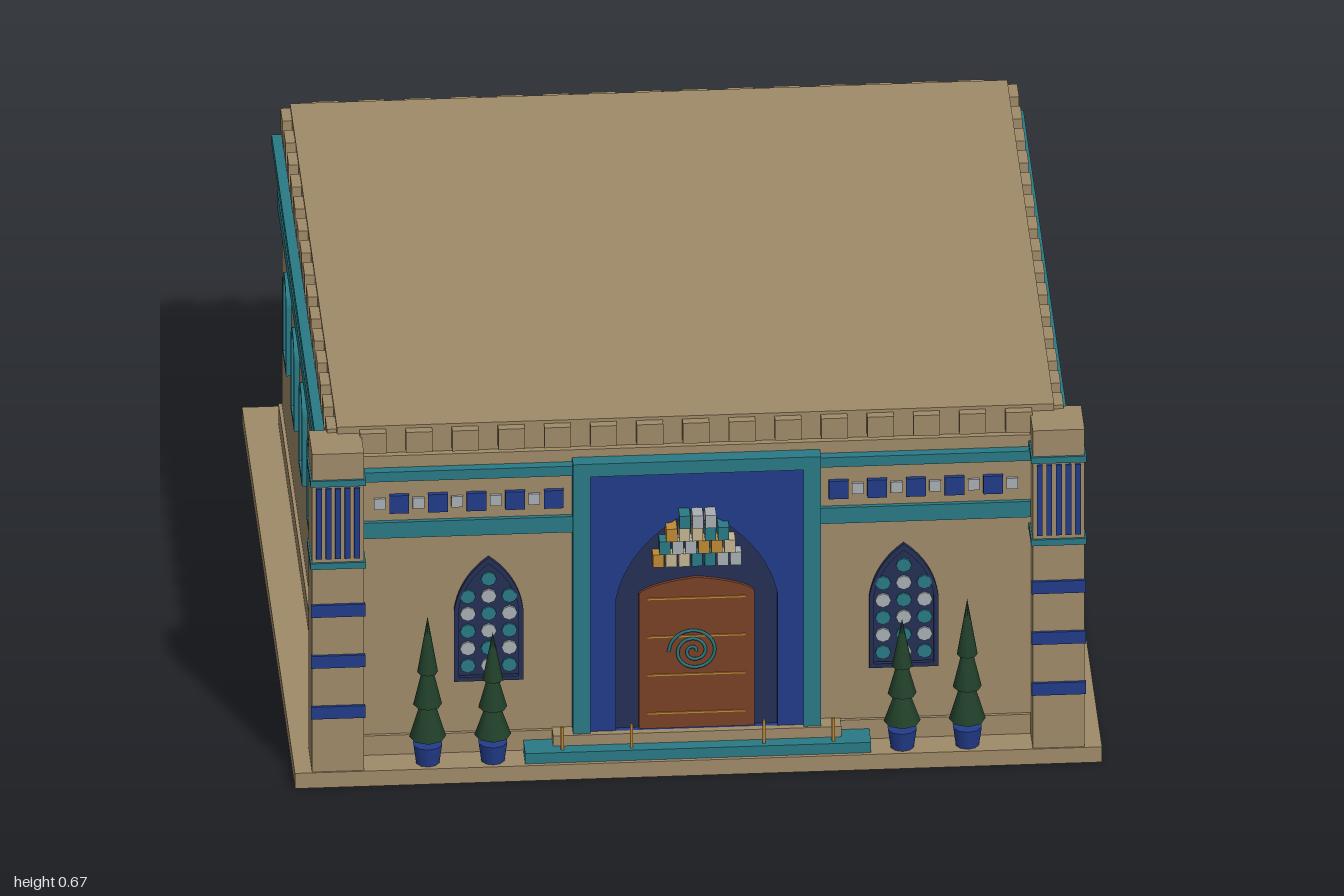
import * as THREE from 'three';

const mat = (name, color) => {
  const m = new THREE.MeshStandardMaterial({ color });
  m.name = name;
  return m;
};

export function createModel() {
  const stone = mat('sandstone', 0xa08b69), teal = mat('teal tile', 0x2a7a86);
  const blue = mat('blue tile', 0x223c8a), navy = mat('dark navy', 0x252f55);
  const wood = mat('door wood', 0x7a4226), green = mat('cypress green', 0x21402a);
  const gold = mat('gold', 0xc08a34), pale = mat('pale tile', 0xaab0b4);
  const cream = mat('cream glass', 0xc4b491);

  const model = new THREE.Group();
  model.name = 'palace';

  const add = (parent, name, geo, material, x = 0, y = 0, z = 0) => {
    const m = new THREE.Mesh(geo, material);
    m.name = name;
    m.position.set(x, y, z);
    parent.add(m);
    return m;
  };
  // Box given by its ranges
  const box = (parent, name, material, x0, x1, y0, y1, z0, z1) =>
    add(parent, name, new THREE.BoxGeometry(x1 - x0, y1 - y0, z1 - z0), material,
      (x0 + x1) / 2, (y0 + y1) / 2, (z0 + z1) / 2);
  // Arch outline, round or pointed
  const arch = (w, y0, spring, top, pointed, Type = THREE.Shape) => {
    const s = new Type();
    s.moveTo(-w, y0);
    s.lineTo(w, y0);
    s.lineTo(w, spring);
    if (pointed) {
      s.quadraticCurveTo(w * 0.85, spring + (top - spring) * 0.62, 0, top);
      s.quadraticCurveTo(-w * 0.85, spring + (top - spring) * 0.62, -w, spring);
    } else s.absarc(0, spring, w, 0, Math.PI, false);
    s.lineTo(-w, y0);
    return s;
  };
  const slab = (shape, depth) =>
    new THREE.ExtrudeGeometry(shape, { depth, bevelEnabled: false, curveSegments: 10 });

  // Plinth, walls, mouldings and roof
  box(model, 'plinth', stone, -0.7, 0.7, 0, 0.03, -0.667, 0.663);
  box(model, 'walls', stone, -0.635, 0.635, 0.03, 0.615, -0.6, 0.6);
  box(model, 'baseMoulding', stone, -0.641, 0.641, 0.03, 0.068, -0.606, 0.606);
  box(model, 'lowerBand', teal, -0.643, 0.643, 0.457, 0.488, -0.608, 0.608);
  box(model, 'upperBand', teal, -0.652, 0.652, 0.573, 0.592, -0.617, 0.617);
  box(model, 'roof', stone, -0.622, 0.622, 0.615, 0.668, -0.588, 0.588);

  // Each side in a local frame: x along the wall, z outward
  const sides = [
    ['front', 0, 0.6, 0.635], ['right', Math.PI / 2, 0.635, 0.6],
    ['back', Math.PI, 0.6, 0.635], ['left', -Math.PI / 2, 0.635, 0.6],
  ];
  for (const [name, angle, dist, half] of sides) {
    const side = new THREE.Group();
    side.name = name + 'Side';
    side.rotation.y = angle;
    model.add(side);
    const teeth = Math.floor((half - 0.02) / 0.08);
    for (let k = -teeth; k <= teeth; k++)
      box(side, 'crenel', stone, k * 0.08 - 0.023, k * 0.08 + 0.023, 0.622, 0.662, dist - 0.02, dist + 0.004);

    const tiles = [];
    if (name === 'front') {
      for (let i = 0; i < 5; i++) tiles.push(0.247 + 0.067 * i, -0.247 - 0.067 * i);
    } else {
      const n = Math.floor((half - 0.02) / 0.0667);
      for (let k = -n; k <= n; k++) tiles.push(k * 0.0667);
    }
    for (const x of tiles) {
      box(side, 'blueTile', blue, x - 0.017, x + 0.017, 0.505, 0.54, dist, dist + 0.008);
      const px = x + 0.0335 * Math.sign(x || 1);
      if (Math.abs(px) < half - 0.01)
        box(side, 'paleTile', pale, px - 0.01, px + 0.01, 0.512, 0.533, dist, dist + 0.005);
    }
    if (name === 'front') continue;
    const step = name === 'back' ? 0.21 : 0.2;
    for (let k = -2; k <= 2; k++) {
      const frame = arch(0.043, 0.257, 0.39, 0, false);
      frame.holes.push(arch(0.033, 0.267, 0.39, 0, false, THREE.Path));
      add(side, 'windowFrame', slab(frame, 0.01), teal, k * step, 0, dist);
      add(side, 'windowPane', slab(arch(0.034, 0.266, 0.39, 0, false), 0.004), cream, k * step, 0, dist);
    }
  }

  for (const s of [-1, 1]) {
    // Corner pillar with tile bands and striped panel
    const pillar = new THREE.Group();
    pillar.name = s > 0 ? 'leftPillar' : 'rightPillar';
    pillar.position.x = s * 0.625;
    model.add(pillar);
    box(pillar, 'shaft', stone, -0.045, 0.045, 0.03, 0.655, 0.573, 0.66);
    for (const y of [0.43, 0.592])
      box(pillar, 'tealBand', teal, -0.048, 0.048, y, y + 0.012, 0.57, 0.664);
    for (const y of [0.136, 0.236, 0.336])
      box(pillar, 'blueBand', blue, -0.047, 0.047, y, y + 0.024, 0.658, 0.665);
    for (let i = -2; i <= 2; i++)
      box(pillar, 'blueStripe', blue, i * 0.0165 - 0.005, i * 0.0165 + 0.005, 0.45, 0.588, 0.658, 0.664);

    // Pointed lattice window
    const win = new THREE.Group();
    win.name = 'latticeWindow';
    win.position.set(s * 0.36, 0, 0.6);
    model.add(win);
    add(win, 'panel', slab(arch(0.054, 0.18, 0.31, 0.4, true), 0.004), navy);
    const rim = arch(0.06, 0.17, 0.31, 0.412, true);
    rim.holes.push(arch(0.052, 0.178, 0.31, 0.4, true, THREE.Path));
    add(win, 'rim', slab(rim, 0.008), navy);
    for (let r = 0; r < 6; r++)
      for (let c = -1; c <= 1; c++) {
        if (r === 5 && c) continue;
        const disc = new THREE.CylinderGeometry(0.0135, 0.0135, 0.004, 8).rotateX(Math.PI / 2);
        add(win, 'latticeDisc', disc, (r + c) % 2 ? teal : pale, c * 0.036, 0.2 + r * 0.034, 0.006);
      }

    // Potted cypresses
    for (const [x, top] of [[0.355, 0.28], [0.468, 0.315]]) {
      const tree = new THREE.Group();
      tree.name = 'pottedCypress';
      tree.position.set(s * x, 0, 0.635);
      model.add(tree);
      add(tree, 'pot', new THREE.CylinderGeometry(0.026, 0.021, 0.036, 10), blue, 0, 0.048);
      add(tree, 'trunk', new THREE.CylinderGeometry(0.006, 0.006, 0.03, 6), wood, 0, 0.075);
      for (let i = 0; i < 3; i++) {
        const y0 = 0.08 + i * (top - 0.08) * 0.27, h = (top - 0.08) * 0.46;
        add(tree, 'foliage', new THREE.ConeGeometry(0.032 - i * 0.007, h, 8), green, 0, y0 + h / 2);
      }
    }
    // Small posts beside the steps
    for (const x of [0.115, 0.235])
      add(model, 'stepPost', new THREE.CylinderGeometry(0.003, 0.003, 0.045, 6), gold, s * x, 0.0725, 0.645);
  }

  // Entrance steps
  box(model, 'lowerStep', teal, -0.3, 0.3, 0.03, 0.05, 0.6, 0.656);
  box(model, 'upperStep', stone, -0.25, 0.25, 0.05, 0.07, 0.6, 0.632);

  // Portal: teal frame, blue panel with pointed niche
  const portal = new THREE.Group();
  portal.name = 'portal';
  portal.position.z = 0.6;
  model.add(portal);
  for (const s of [-1, 1])
    box(portal, 'frameJamb', teal, s * 0.2 - 0.015, s * 0.2 + 0.015, 0.068, 0.6, 0, 0.027);
  box(portal, 'frameLintel', teal, -0.215, 0.215, 0.575, 0.6, 0, 0.027);
  const panel = new THREE.Shape();
  panel.moveTo(-0.186, 0.068);
  panel.lineTo(0.186, 0.068);
  panel.lineTo(0.186, 0.576);
  panel.lineTo(-0.186, 0.576);
  panel.holes.push(arch(0.14, 0.07, 0.33, 0.505, true, THREE.Path));
  add(portal, 'bluePanel', slab(panel, 0.02), blue);
  // Inner blue jambs flank the door below the navy niche
  add(portal, 'niche', slab(arch(0.141, 0.07, 0.33, 0.506, true), 0.01), navy);

  // Door with gold bars and spiral
  add(portal, 'door', slab(arch(0.1, 0.07, 0.335, 0.365, true), 0.016), wood);
  for (const y of [0.1, 0.175, 0.25, 0.325])
    box(portal, 'doorBar', gold, -0.085, 0.085, y - 0.0015, y + 0.0015, 0.014, 0.018);
  const spiral = [];
  for (let i = 0; i <= 40; i++) {
    const t = i / 40, a = t * Math.PI * 5, r = 0.004 + 0.04 * t;
    spiral.push(new THREE.Vector3(-0.005 + r * Math.cos(a), 0.222 + r * Math.sin(a), 0.019));
  }
  add(portal, 'doorSpiral', new THREE.TubeGeometry(new THREE.CatmullRomCurve3(spiral), 80, 0.003, 5), teal);

  // Stepped honeycomb vault above the door
  const vaultColours = [gold, pale, teal, cream];
  [7, 6, 5, 3].forEach((n, row) => {
    for (let i = 0; i < n; i++) {
      const x = (i - (n - 1) / 2) * 0.0225, y = 0.395 + row * 0.028;
      box(portal, 'vaultCell', vaultColours[(i * 3 + row * 2 + (i >> 1)) % 4],
        x - 0.0095, x + 0.0095, y, y + 0.025, 0.008, 0.032 + row * 0.006);
    }
  });
  return model;
}
